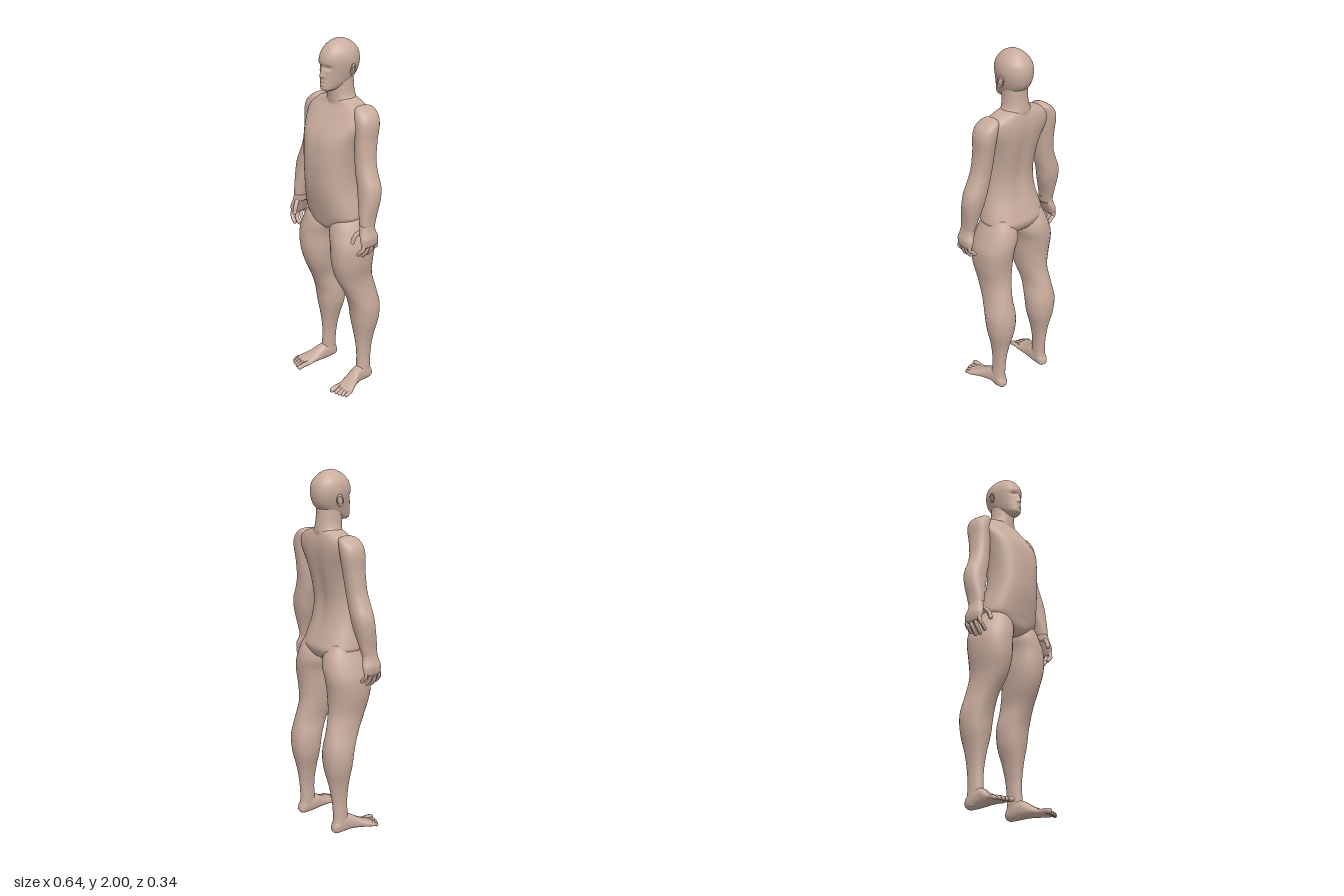
import * as THREE from 'three';
import { mergeGeometries } from 'three/addons/utils/BufferGeometryUtils.js';

const skin = new THREE.MeshStandardMaterial({ color: 0xc9ac9d });
skin.name = 'skin';

// Catmull-Rom blend of the numbers in neighbouring stations
function blend(stations, s) {
  const n = stations.length - 1;
  const i = Math.min(Math.floor(s), n - 1), f = s - i;
  const at = (k) => stations[Math.max(0, Math.min(n, k))];
  return at(i).map((_, k) => {
    const a = at(i - 1)[k], b = at(i)[k], c = at(i + 1)[k], d = at(i + 2)[k];
    return b + 0.5 * f * (c - a + f * (2 * a - 5 * b + 4 * c - d + f * (3 * (b - c) + d - a)));
  });
}

// Smooth closed skin through stations [t, uMin, uMax, vMin, vMax], t rising along y or z.
// On axis y, u is x and v is z; on axis z, u is x and v is y.
function loft(stations, { axis = 'y', p = 2.2, segs = 32, steps = 4, shape } = {}) {
  const pos = [], idx = [], rings = (stations.length - 1) * steps;
  const put = (u, t, v) => {
    const q = axis === 'y' ? new THREE.Vector3(u, t, v) : new THREE.Vector3(u, v, t);
    if (shape) shape(q);
    pos.push(q.x, q.y, q.z);
  };
  const tri = (a, b, c) => (axis === 'y' ? idx.push(a, b, c) : idx.push(a, c, b));
  const power = (c) => Math.sign(c) * Math.abs(c) ** (2 / p);
  for (let i = 0; i <= rings; i++) {
    const [t, u0, u1, v0, v1] = blend(stations, i / steps);
    for (let j = 0; j < segs; j++) {
      const a = (j / segs) * Math.PI * 2;
      put((u0 + u1) / 2 + (u1 - u0) / 2 * power(Math.cos(a)), t,
        (v0 + v1) / 2 + (v1 - v0) / 2 * power(Math.sin(a)));
    }
  }
  for (let i = 0; i < rings; i++) {
    for (let j = 0; j < segs; j++) {
      const a = i * segs + j, b = i * segs + (j + 1) % segs;
      tri(a, a + segs, b);
      tri(b, a + segs, b + segs);
    }
  }
  // end caps
  const first = stations[0], last = stations[stations.length - 1];
  const c0 = (rings + 1) * segs, c1 = c0 + 1;
  for (const s of [first, last]) put((s[1] + s[2]) / 2, s[0], (s[3] + s[4]) / 2);
  for (let j = 0; j < segs; j++) {
    const k = (j + 1) % segs;
    tri(c0, j, k);
    tri(c1, rings * segs + k, rings * segs + j);
  }
  const g = new THREE.BufferGeometry();
  g.setAttribute('position', new THREE.Float32BufferAttribute(pos, 3));
  g.setIndex(idx);
  g.computeVertexNormals();
  return g;
}

// Rounded finger or toe along a few points
function digit(points, r) {
  const pts = points.map((q) => new THREE.Vector3(...q));
  const tube = new THREE.TubeGeometry(new THREE.CatmullRomCurve3(pts), 10, r, 10);
  const ends = [pts[0], pts[pts.length - 1]].map((q) =>
    new THREE.SphereGeometry(r, 10, 8).translate(q.x, q.y, q.z));
  return mergeGeometries([tube, ...ends]);
}

function mirrored(g) {
  const m = g.clone().scale(-1, 1, 1), ix = m.index.array;
  for (let i = 0; i < ix.length; i += 3) [ix[i], ix[i + 1]] = [ix[i + 1], ix[i]];
  m.computeVertexNormals();
  return m;
}

const sym = (rows) => rows.map(([y, w, b, f]) => [y, -w, w, b, f]);
const bump = (d, size) => Math.exp(-((d / size) ** 2));

export function createModel() {
  const model = new THREE.Group();
  model.name = 'humanFigure';
  const add = (name, g) => {
    const m = new THREE.Mesh(g, skin);
    m.name = name;
    model.add(m);
  };
  const pair = (name, g) => {
    add('left' + name, g);
    add('right' + name, mirrored(g));
  };

  // torso with a shallow spine groove and chest hollow
  add('torso', loft(sym([
    [0.97, 0.025, -0.03, 0.08], [1.0, 0.11, -0.1, 0.108], [1.05, 0.178, -0.13, 0.12],
    [1.1, 0.178, -0.12, 0.132], [1.2, 0.157, -0.09, 0.152], [1.3, 0.15, -0.078, 0.16],
    [1.4, 0.157, -0.09, 0.158], [1.5, 0.178, -0.108, 0.14], [1.58, 0.21, -0.118, 0.09],
    [1.63, 0.21, -0.117, 0.055], [1.66, 0.175, -0.112, 0.035], [1.685, 0.11, -0.105, 0.025],
    [1.7, 0.06, -0.09, 0.01],
  ]), {
    p: 2.4, segs: 48, shape: (q) => {
      if (q.z < -0.05) q.z += 0.012 * bump(q.x, 0.03) * bump(q.y - 1.38, 0.22);
      if (q.z > 0.05) q.z -= 0.005 * bump(q.x, 0.02) * bump(q.y - 1.48, 0.1);
    },
  }));

  add('neck', loft(sym([
    [1.62, 0.1, -0.1, 0.03], [1.68, 0.085, -0.11, 0.035], [1.71, 0.071, -0.107, 0.037],
    [1.75, 0.065, -0.102, 0.04], [1.82, 0.062, -0.1, 0.04],
  ]), { p: 2 }));

  // head: narrower toward the face, with eye sockets, nose, lips and chin
  add('head', loft(sym([
    [1.738, 0.022, 0.03, 0.082], [1.75, 0.042, -0.01, 0.096], [1.78, 0.06, -0.075, 0.095],
    [1.82, 0.074, -0.115, 0.092], [1.86, 0.085, -0.13, 0.094], [1.9, 0.089, -0.132, 0.096],
    [1.94, 0.08, -0.121, 0.08], [1.975, 0.053, -0.09, 0.047], [1.993, 0.026, -0.055, 0.013],
    [2.0, 0.004, -0.024, -0.016],
  ]), {
    p: 2.2, segs: 72, steps: 7, shape: (q) => {
      q.x *= 1 - 1.3 * Math.max(0, q.z + 0.02) * 1.2;
      if (q.z < 0.03) return;
      const ax = Math.abs(q.x);
      q.z -= 0.013 * bump(ax - 0.031, 0.017) * bump(q.y - 1.862, 0.011);
      q.z -= 0.004 * bump(q.x, 0.02) * bump(q.y - 1.868, 0.01);
      const along = THREE.MathUtils.clamp((1.872 - q.y) / 0.055, 0, 1);
      const below = q.y < 1.817 ? bump(q.y - 1.817, 0.007) : 1;
      q.z += 0.019 * along * below * bump(q.x, 0.009 + 0.005 * along);
      q.z += 0.005 * bump(q.x, 0.02) * (bump(q.y - 1.79, 0.006) + bump(q.y - 1.774, 0.006));
      q.z -= 0.004 * bump(q.x, 0.024) * bump(q.y - 1.782, 0.003);
    },
  }));

  // ears: a flat shell with a raised rim
  const shell = new THREE.SphereGeometry(1, 16, 12).scale(0.007, 0.026, 0.015);
  const rim = new THREE.TorusGeometry(0.02, 0.005, 8, 24).scale(0.8, 1.35, 1)
    .rotateY(Math.PI / 2).translate(0.004, 0, 0);
  pair('Ear', mergeGeometries([shell, rim]).rotateY(0.3).rotateX(-0.15)
    .translate(0.092, 1.848, -0.03));

  pair('Leg', loft([
    [0.012, 0.135, 0.185, -0.115, -0.04], [0.05, 0.126, 0.19, -0.123, -0.025],
    [0.1, 0.125, 0.187, -0.118, -0.028], [0.2, 0.12, 0.187, -0.125, -0.03],
    [0.3, 0.1, 0.2, -0.142, -0.02], [0.4, 0.072, 0.224, -0.165, -0.005],
    [0.5, 0.065, 0.231, -0.17, 0.01], [0.6, 0.073, 0.216, -0.15, 0.048],
    [0.7, 0.055, 0.212, -0.126, 0.098], [0.8, 0.04, 0.23, -0.126, 0.125],
    [0.9, 0.032, 0.235, -0.14, 0.128], [0.97, 0.012, 0.217, -0.143, 0.118],
    [1.03, 0.02, 0.193, -0.13, 0.1], [1.09, 0.05, 0.165, -0.1, 0.06],
  ], { p: 2.15 }));

  pair('Foot', loft([
    [-0.13, 0.145, 0.172, 0.018, 0.042], [-0.112, 0.129, 0.187, 0.003, 0.075],
    [-0.07, 0.125, 0.19, 0, 0.1], [-0.02, 0.124, 0.195, 0.002, 0.098],
    [0.03, 0.127, 0.215, 0.004, 0.068], [0.08, 0.132, 0.24, 0.003, 0.043],
    [0.112, 0.135, 0.247, 0.003, 0.031], [0.125, 0.142, 0.235, 0.008, 0.022],
  ], { axis: 'z', p: 2.3 }));

  // toes as [x, tip z, radius]
  [[0.15, 0.157, 0.0145], [0.178, 0.151, 0.0105], [0.2, 0.146, 0.0105],
    [0.22, 0.139, 0.01], [0.238, 0.126, 0.01]].forEach(([x, z, r], i) =>
    pair('Toe' + (i + 1), digit([[x - 0.002, 0.02, 0.09], [x, 0.02, z - 0.02], [x, r + 0.001, z]], r)));

  pair('Arm', loft([
    [1.03, 0.252, 0.309, -0.015, 0.066], [1.1, 0.24, 0.31, -0.035, 0.068],
    [1.2, 0.206, 0.322, -0.06, 0.056], [1.27, 0.19, 0.315, -0.07, 0.05],
    [1.33, 0.173, 0.29, -0.07, 0.045], [1.4, 0.162, 0.266, -0.075, 0.04],
    [1.5, 0.155, 0.256, -0.09, 0.036], [1.58, 0.15, 0.257, -0.104, 0.036],
    [1.63, 0.142, 0.243, -0.105, 0.03], [1.665, 0.14, 0.205, -0.095, 0.012],
    [1.677, 0.155, 0.18, -0.06, -0.02],
  ]));

  pair('Palm', loft([
    [0.95, 0.292, 0.314, -0.022, 0.07], [0.97, 0.283, 0.32, -0.032, 0.08],
    [1.0, 0.27, 0.322, -0.034, 0.082], [1.03, 0.257, 0.314, -0.024, 0.075],
    [1.07, 0.246, 0.307, -0.02, 0.068],
  ]));

  pair('Thumb', digit([[0.27, 1.035, 0.06], [0.253, 1.01, 0.085], [0.248, 0.975, 0.097]], 0.012));

  // fingers as [knuckle z, tip z, tip height], curling inward
  [[0.066, 0.077, 0.905], [0.037, 0.046, 0.891], [0.008, 0.014, 0.894],
    [-0.019, -0.02, 0.914]].forEach(([z0, z1, y], i) =>
    pair('Finger' + (i + 1), digit([
      [0.303, 0.97, z0], [0.303, 0.94, (z0 + z1) / 2], [0.29, y + 0.02, z1], [0.272, y, z1],
    ], 0.0108)));

  return model;
}
